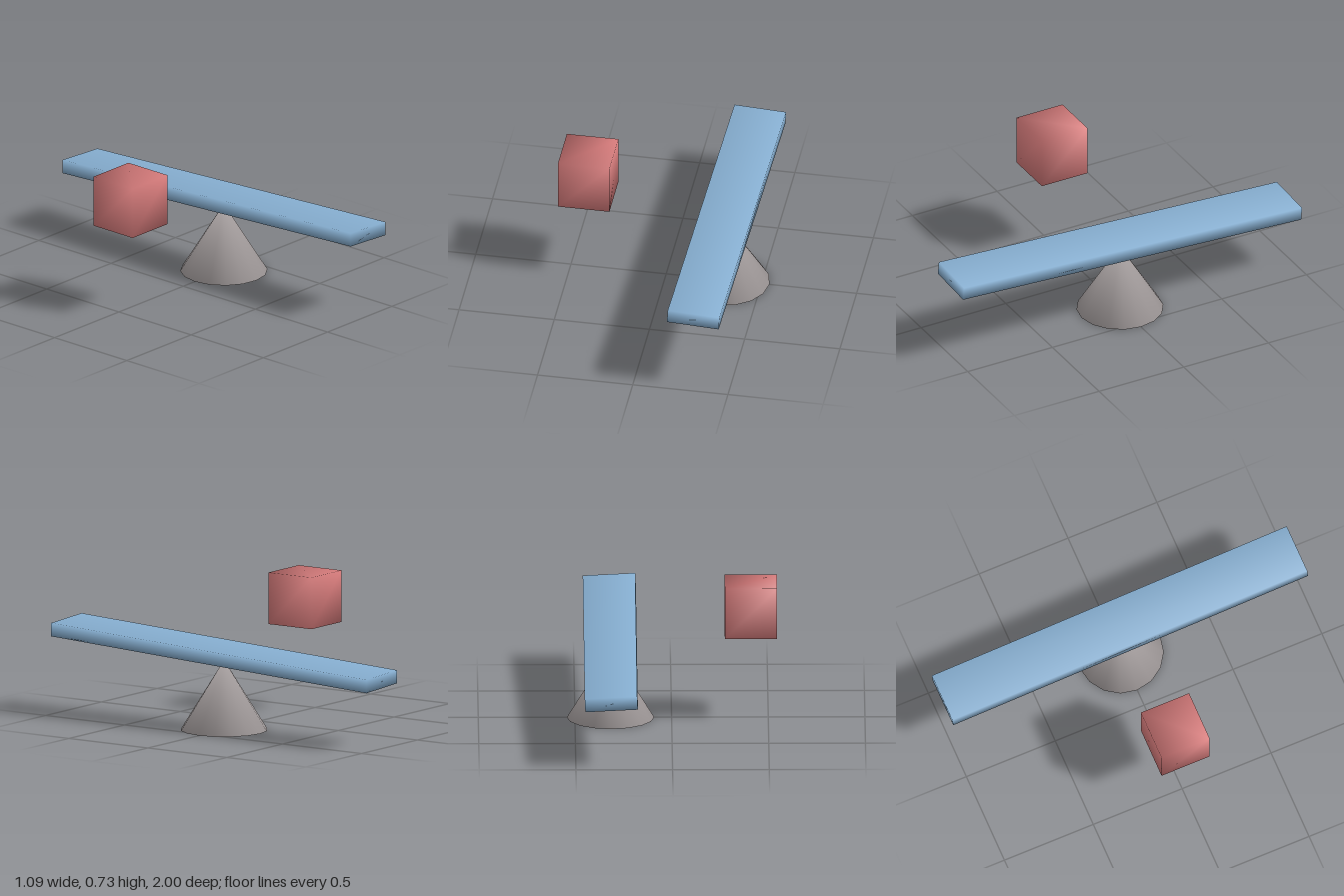
import * as THREE from 'three';
import { mergeVertices } from 'three/addons/utils/BufferGeometryUtils.js';

// Weld all corners so the shading runs smoothly over every edge
function softened(geometry) {
  geometry.deleteAttribute('normal');
  geometry.deleteAttribute('uv');
  const welded = mergeVertices(geometry, 1e-4);
  welded.computeVertexNormals();
  return welded;
}

function material(name, color) {
  const m = new THREE.MeshStandardMaterial({ color });
  m.name = name;
  return m;
}

export function createModel() {
  const group = new THREE.Group();
  group.name = 'seesawWithCube';

  const add = (name, geometry, mat, x, y, z) => {
    const mesh = new THREE.Mesh(softened(geometry), mat);
    mesh.name = name;
    mesh.position.set(x, y, z);
    group.add(mesh);
    return mesh;
  };

  // Cone that the plank balances on
  add('pivotCone', new THREE.ConeGeometry(0.226, 0.366, 16),
    material('warmGrey', 0xaaa3a3), 0.316, 0.183, 0);

  // Long plank, tipped up at the front and rolled slightly to its left
  const plank = add('plank', new THREE.BoxGeometry(0.272, 0.071, 1.999),
    material('blue', 0x86aed0), 0.317, 0.401, 0);
  plank.rotation.set(-0.05, 0, -0.05);

  // Loose cube hovering beside the seesaw
  add('cube', new THREE.BoxGeometry(0.271, 0.271, 0.271),
    material('red', 0xd87c7c), -0.41, 0.592, 0);

  return group;
}
